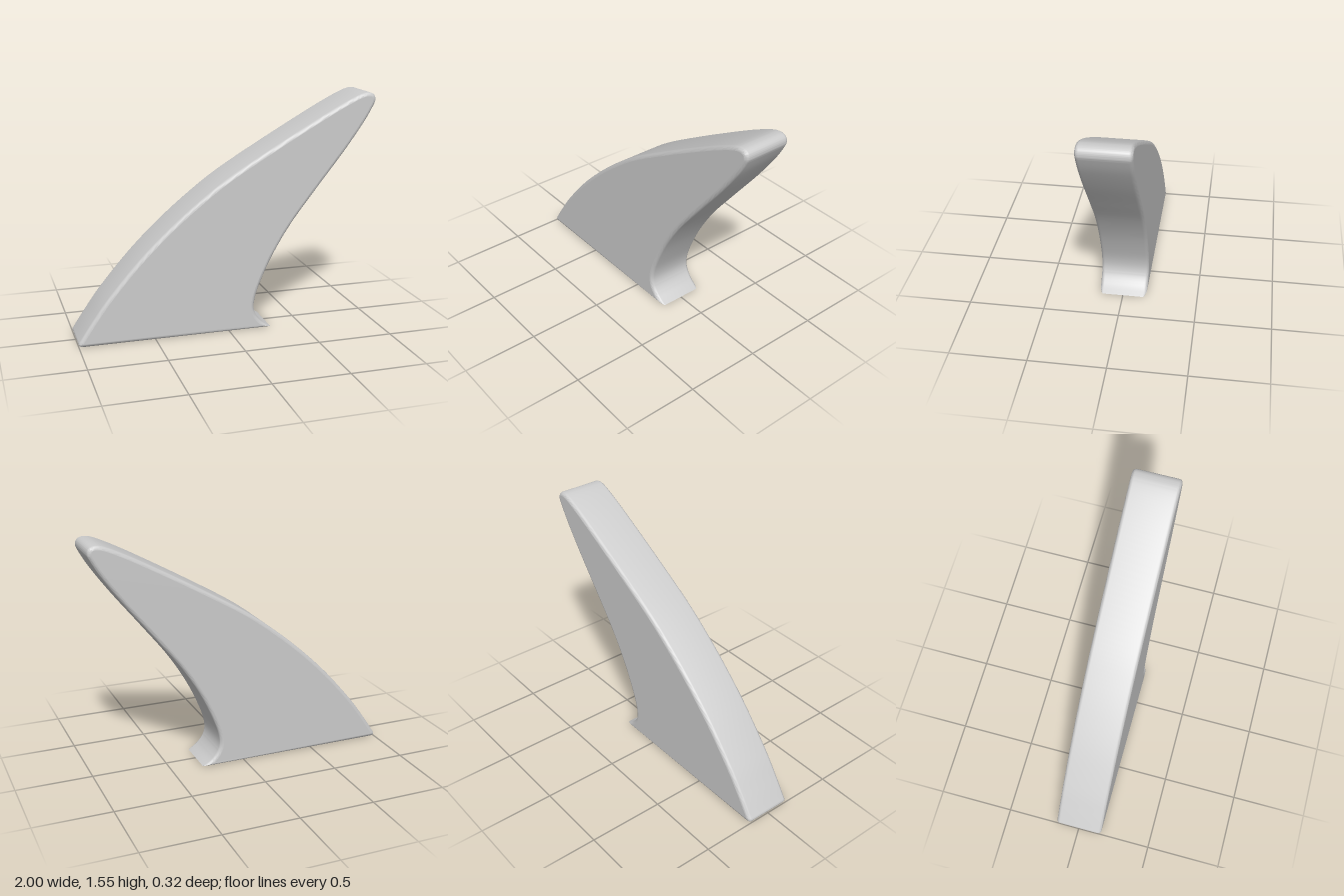
import * as THREE from 'three';
import { mergeGeometries, toCreasedNormals } from 'three/addons/utils/BufferGeometryUtils.js';

const HALF = 0.16;    // half thickness
const BEVEL = 0.024;  // radius of the rounded edges
const STEPS = 5;      // bevel segments

// Swept outline, counter-clockwise: heel, hollow trailing edge, tip, leading edge, toe
const outline = new THREE.SplineCurve([
  [0.29, 0], [0.225, 0.045], [0.18, 0.11], [0.174, 0.19], [0.21, 0.31], [0.3, 0.505],
  [0.43, 0.715], [0.6, 0.935], [0.79, 1.175], [0.92, 1.355], [0.985, 1.465],
  [0.999, 1.505], [0.987, 1.538], [0.95, 1.552], [0.89, 1.541], [0.77, 1.486],
  [0.6, 1.395], [0.3, 1.225], [0, 1.045], [-0.2, 0.9], [-0.4, 0.733], [-0.6, 0.54],
  [-0.8, 0.31], [-0.91, 0.16], [-0.985, 0.048], [-1, 0.022], [-0.994, 0.006], [-0.975, 0],
].map(([x, y]) => new THREE.Vector2(x, y)));
const COUNT = 216;

// Outline moved inwards by d, with the sharp heel trimmed where it meets the base
function insetOutline(d) {
  const pts = [];
  for (let i = 0; i <= COUNT; i++) {
    const t = outline.getTangent(i / COUNT);
    const n = i === COUNT ? new THREE.Vector2(0, -1) : new THREE.Vector2(t.y, -t.x);
    pts.push(outline.getPoint(i / COUNT).addScaledVector(n, -d));
  }
  const first = pts.findIndex((p) => p.y >= d);
  for (let i = 0; i < first; i++) pts[i].set(pts[first].x, d);
  for (const p of pts) p.y = Math.max(p.y, d);
  return pts;
}

function toGeometry(positions, index) {
  const g = new THREE.BufferGeometry();
  g.setAttribute('position', new THREE.Float32BufferAttribute(positions, 3));
  g.setIndex(index);
  return g.toNonIndexed();
}

// Flat face on one side
function cap(side) {
  const pts = insetOutline(BEVEL);
  const index = THREE.ShapeUtils.triangulateShape(pts, [])
    .flatMap(([a, b, c]) => (side > 0 ? [a, b, c] : [a, c, b]));
  const g = toGeometry(pts.flatMap((p) => [p.x, p.y, side * HALF]), index);
  g.computeVertexNormals();
  return g;
}

// Rim with rounded edges, lofted through inset rings from back to front
function rim() {
  const rings = [];
  for (const side of [-1, 1]) {
    for (let k = 0; k <= STEPS; k++) {
      const a = ((side < 0 ? STEPS - k : k) / STEPS) * Math.PI / 2;
      rings.push({
        pts: insetOutline(BEVEL * (1 - Math.cos(a))),
        z: side * (HALF - BEVEL + BEVEL * Math.sin(a)),
      });
    }
  }
  const positions = rings.flatMap(({ pts, z }) => pts.flatMap((p) => [p.x, p.y, z]));
  const n = COUNT + 1;
  const index = [];
  for (let j = 0; j < rings.length - 1; j++) {
    for (let i = 0; i < n; i++) {
      const a = j * n + i, b = j * n + (i + 1) % n;
      index.push(a, b, b + n, a, b + n, a + n);
    }
  }
  return toCreasedNormals(toGeometry(positions, index), 0.7);
}

export function createModel() {
  const group = new THREE.Group();
  group.name = 'fin';
  const mesh = new THREE.Mesh(
    mergeGeometries([rim(), cap(1), cap(-1)]),
    new THREE.MeshStandardMaterial({ color: 0xcccccc }),
  );
  mesh.name = 'finBlade';
  group.add(mesh);
  return group;
}
